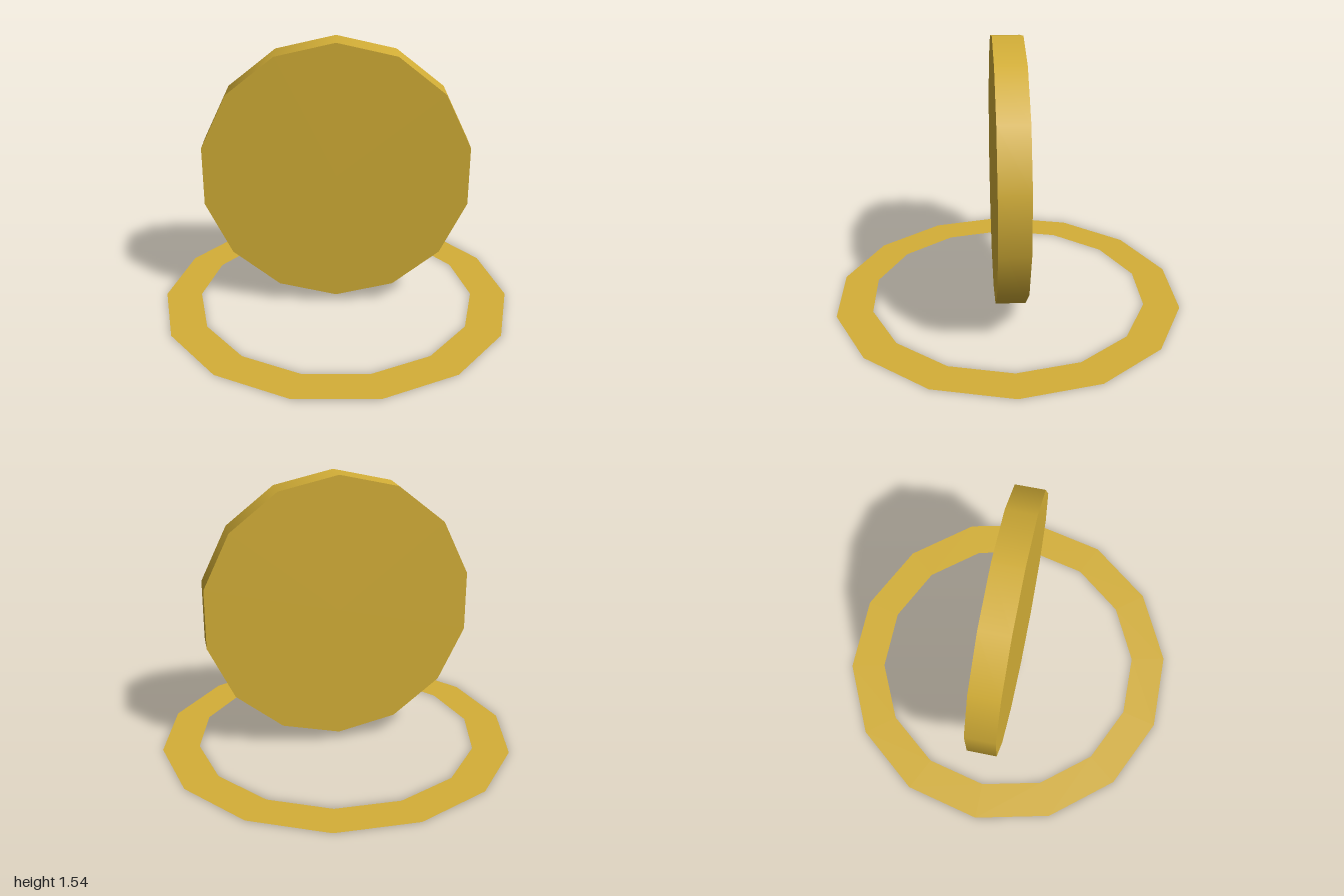
import * as THREE from 'three';

const SIDES = 14;

export function createModel() {
  const group = new THREE.Group();
  const gold = new THREE.MeshStandardMaterial({ color: 0xd4af37, side: THREE.DoubleSide });
  gold.name = 'gold';

  // Upright coin, its round faces towards front and back
  const coinGeometry = new THREE.CylinderGeometry(0.747, 0.747, 0.166, SIDES);
  coinGeometry.rotateX(Math.PI / 2);
  const coin = new THREE.Mesh(coinGeometry, gold);
  coin.name = 'coin';
  coin.position.y = 0.795;
  group.add(coin);

  // Flat ring lying on the ground around the coin
  const ringGeometry = new THREE.RingGeometry(0.795, 1, SIDES);
  ringGeometry.rotateX(-Math.PI / 2);
  const ring = new THREE.Mesh(ringGeometry, gold);
  ring.name = 'groundRing';
  group.add(ring);

  return group;
}
